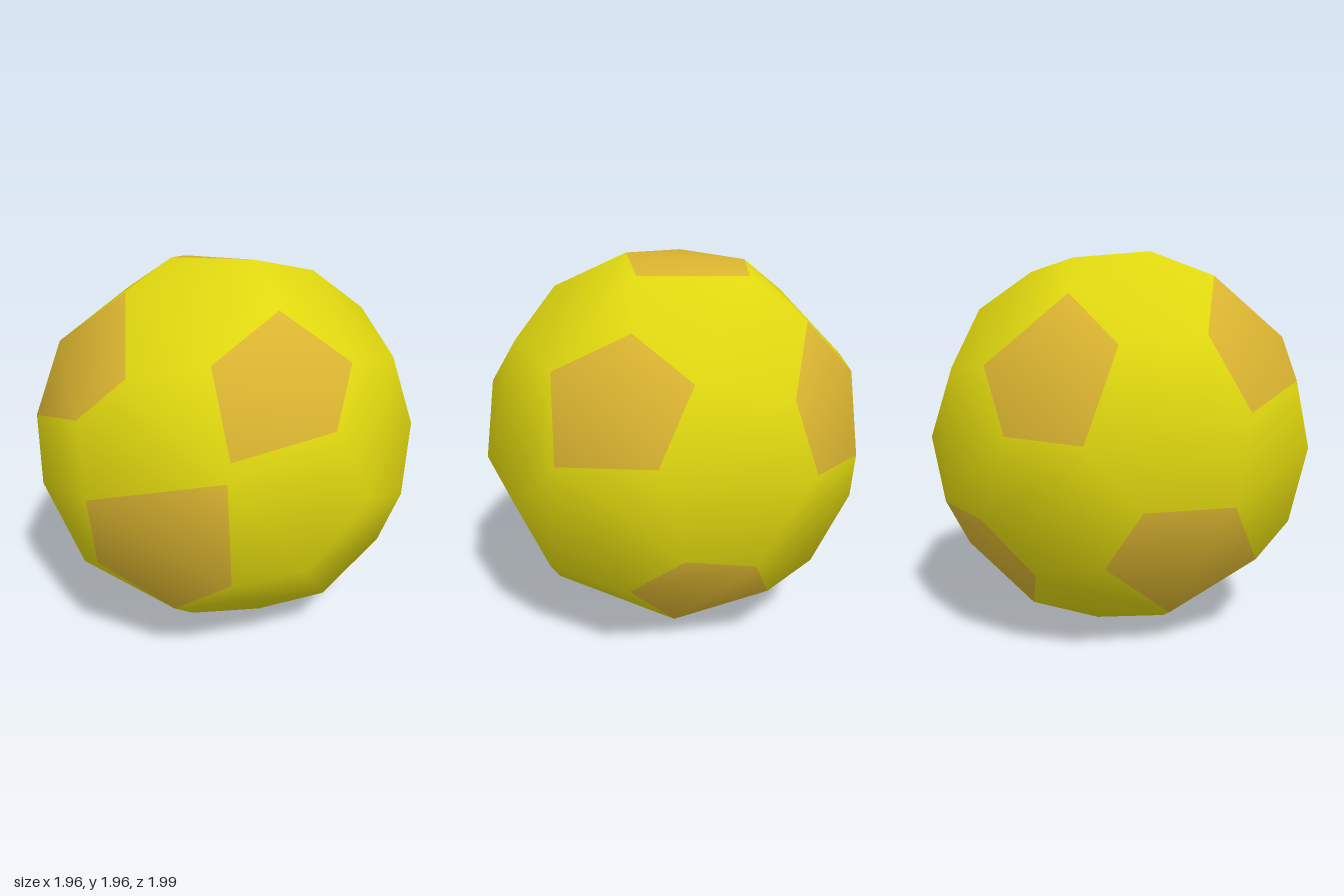
import * as THREE from 'three';
import { ConvexGeometry } from 'three/addons/geometries/ConvexGeometry.js';

const CENTRE_Y = 0.975;
const v3 = (x, y, z) => new THREE.Vector3(x, y, z);

// Frames (right, up, outward) in which a panel's corners are laid out
const X = v3(1, 0, 0), Y = v3(0, 1, 0), Z = v3(0, 0, 1);
const front = [X, Y, Z];
const side = [Z, Y, X];
const top = [X, Z, Y];
const bottom = [X, Z, v3(0, -1, 0)];

// Frame facing a slanted direction, from azimuth and elevation in degrees
function slanted(azimuth, elevation) {
  const a = THREE.MathUtils.degToRad(azimuth), e = THREE.MathUtils.degToRad(elevation);
  const out = v3(Math.sin(a) * Math.cos(e), Math.sin(e), Math.cos(a) * Math.cos(e));
  const right = Y.clone().cross(out).normalize();
  return [right, out.clone().cross(right), out];
}

// Raise flat corner points onto a sphere of the given radius
function panel([right, up, out], corners, radius = 1.02) {
  return corners.map(([a, b]) => v3(0, 0, 0)
    .addScaledVector(right, a)
    .addScaledVector(up, b)
    .addScaledVector(out, Math.sqrt(Math.max(0, radius * radius - a * a - b * b))));
}

// Twelve slightly uneven five-sided panels; the first stays plain
const panels = [
  panel(front, [[0.2, -0.03], [0.55, -0.16], [0.56, -0.5], [0.22, -0.74], [-0.12, -0.35]]),
  panel(front, [[-0.08, 0.805], [0.19, 0.575], [0, 0.325], [-0.48, 0.245], [-0.46, 0.615]]),
  panel(front, [[-0.95, -0.02], [-0.5, 0.155], [-0.45, -0.385], [-0.6, -0.625], [-0.89, -0.4]]),
  panel(side, [[0.64, 0.505], [0.28, 0.685], [0.03, 0.495], [0.2, 0.155], [0.64, 0.115]]),
  panel(side, [[-0.58, 0.685], [-0.43, 0.395], [-0.55, 0.04], [-0.84, 0.025], [-0.88, 0.395]]),
  panel(side, [[0.32, -0.515], [0.08, -0.295], [-0.26, -0.375], [-0.38, -0.635], [0.075, -0.845]]),
  panel(top, [[-0.02, -0.38], [0.36, -0.32], [0.4, 0.23], [0.02, 0.25], [-0.26, -0.07]], 1.01),
  panel(top, [[-0.97, -0.23], [-0.79, -0.32], [-0.57, 0.05], [-0.75, 0.43], [-0.93, 0.26]]),
  panel(top, [[-0.19, -0.995], [0.02, -0.93], [-0.25, -0.65], [-0.57, -0.67], [-0.54, -0.86]]),
  panel(bottom, [[0.22, 0.03], [0, 0.39], [-0.36, 0.27], [-0.4, -0.12], [-0.08, -0.28]], 1.005),
  panel(slanted(140, -30), [[0.286, 0.229], [0.629, 0.114], [0.686, -0.229], [0.28, -0.474], [0.023, -0.08]]),
  panel(slanted(215, 24), [[0.023, -0.8], [0.2, -0.576], [0.6, -0.51], [0.72, -0.69], [0.3, -0.96]]),
];

// Mesh with normals pointing away from the centre, so the facets shade as a ball
function ballPart(name, points, material) {
  const geometry = new THREE.BufferGeometry().setFromPoints(points);
  const normals = points.flatMap((p) => p.clone().normalize().toArray());
  geometry.setAttribute('normal', new THREE.Float32BufferAttribute(normals, 3));
  const mesh = new THREE.Mesh(geometry, material);
  mesh.name = name;
  mesh.position.y = CENTRE_Y;
  return mesh;
}

export function createModel() {
  const yellow = new THREE.MeshStandardMaterial({ color: 0xe0d80f });
  yellow.name = 'yellow';
  const tan = new THREE.MeshStandardMaterial({ color: 0xdab430 });
  tan.name = 'tan';

  // Hull around all corners; triangles inside one panel form its patch
  const hull = new ConvexGeometry(panels.flat()).getAttribute('position');
  const panelOf = (p) => panels.findIndex((c) => c.some((q) => q.distanceTo(p) < 1e-4));
  const shell = [], patches = [];
  for (let i = 0; i < hull.count; i += 3) {
    const tri = [0, 1, 2].map((k) => v3(0, 0, 0).fromBufferAttribute(hull, i + k));
    const [a, b, c] = tri.map(panelOf);
    (a > 0 && a === b && b === c ? patches : shell).push(...tri);
  }

  const group = new THREE.Group();
  group.name = 'ball';
  group.add(ballPart('shell', shell, yellow), ballPart('pentagonPatches', patches, tan));
  return group;
}
